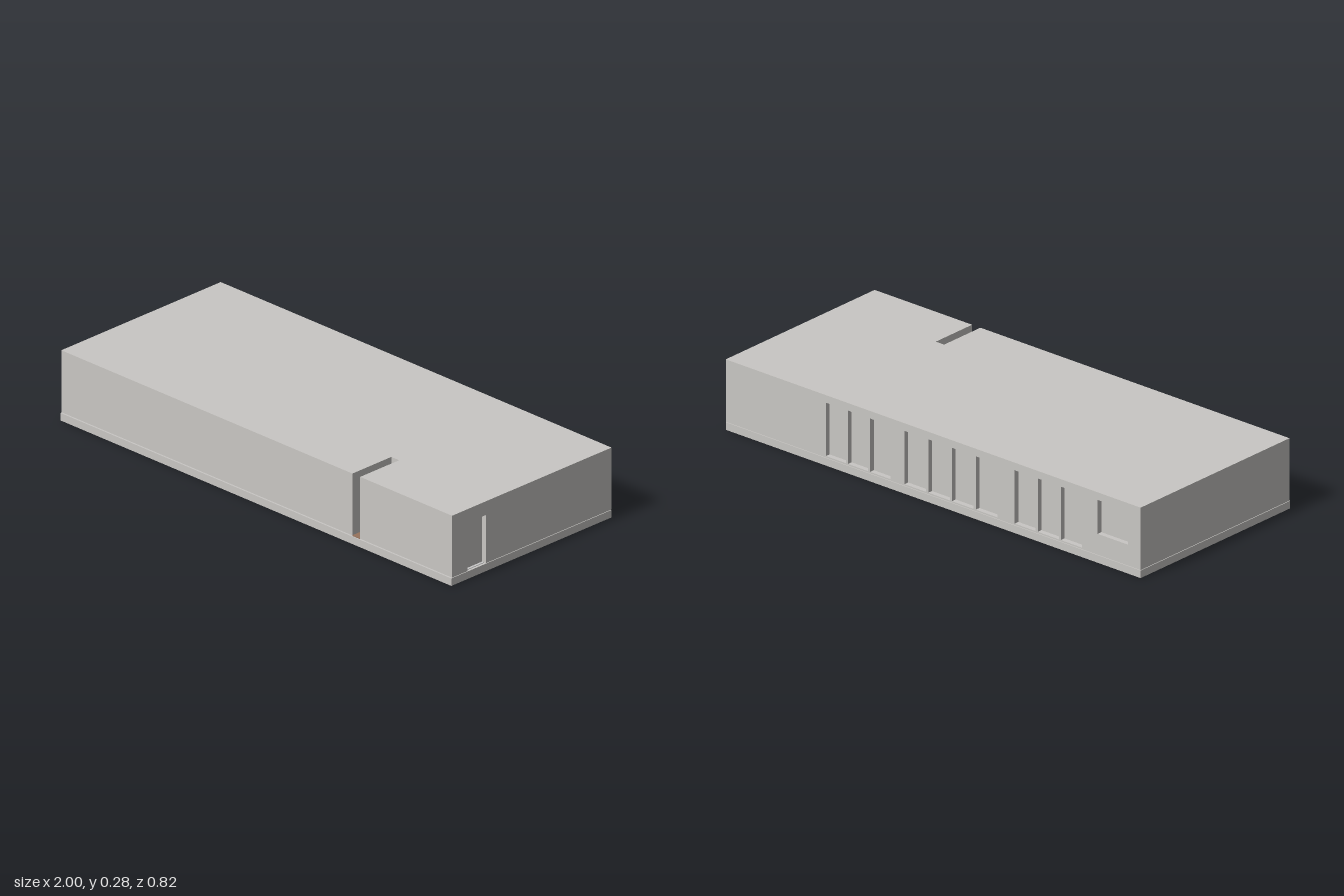
import * as THREE from 'three';

const BASE = 0.032, TOP = 0.28, DEEP = 0.02;

const material = (name, color) => {
  const m = new THREE.MeshStandardMaterial({ color });
  m.name = name;
  return m;
};

// Closed outline from corner points
const outline = (points, Kind = THREE.Shape) => new Kind(points.map(([x, y]) => new THREE.Vector2(x, y)));
const rect = (x0, y0, x1, y1) => [[x0, y0], [x1, y0], [x1, y1], [x0, y1]];

const extrude = (points, holes, depth) => {
  const shape = outline(points);
  shape.holes = holes.map(h => outline(h, THREE.Path));
  return new THREE.ExtrudeGeometry(shape, { depth, bevelEnabled: false });
};

// Plan drawn in x and z, raised from y0 to y1
const raisePlan = (points, holes, y0, y1) => {
  const flip = list => list.map(([x, z]) => [x, -z]);
  return extrude(flip(points), holes.map(flip), y1 - y0).rotateX(-Math.PI / 2).translate(0, y0, 0);
};

export function createModel() {
  const group = new THREE.Group();
  group.name = 'building';
  const plaster = material('plaster', 0xc9c7c4);
  const concrete = material('concrete', 0xc8c8c8);
  const wood = material('wood', 0x97735c);

  const add = (name, geometry, mat) => {
    const mesh = new THREE.Mesh(geometry, mat);
    mesh.name = name;
    group.add(mesh);
  };

  // Main volume and roof, with a narrow slot cut in from the front
  add('mainVolume', raisePlan([
    [-1, -0.39], [0.98, -0.39], [0.98, 0.41], [0.53, 0.41],
    [0.53, 0.21], [0.49, 0.21], [0.49, 0.41], [-1, 0.41],
  ], [], BASE, TOP), plaster);

  // Back wall: three rows of tall panes and one small window
  const rows = [
    { from: 0.207, to: 0.517, panes: 3, sill: 0.038 },
    { from: -0.31, to: 0.138, panes: 4, sill: 0.038 },
    { from: -0.717, to: -0.393, panes: 3, sill: 0.038 },
    { from: -0.938, to: -0.793, panes: 1, sill: 0.115 },
  ];
  const mullion = 0.01;
  const openings = [];
  for (const { from, to, panes, sill } of rows) {
    const pitch = (to - from + mullion) / panes;
    for (let i = 0; i < panes; i++) {
      const x = from + i * pitch;
      openings.push(rect(x, sill, x + pitch - mullion, 0.25));
    }
  }
  add('backWall', extrude(rect(-1, BASE, 0.98, TOP), openings, DEEP).translate(0, 0, -0.41), plaster);

  // Side wall with a door opening that reaches the floor
  add('doorWall', extrude([
    [-0.41, BASE], [0.235, BASE], [0.235, 0.225], [0.33, 0.225],
    [0.33, BASE], [0.41, BASE], [0.41, TOP], [-0.41, TOP],
  ], [], DEEP).rotateY(-Math.PI / 2).translate(1, 0, 0), plaster);

  // Plinth ring around the open underside
  add('plinth', raisePlan(rect(-1, -0.41, 1, 0.414), [rect(-0.98, -0.39, 0.98, 0.395)], 0, 0.03), plaster);

  // Floor slabs, room by room
  const slab = (name, x0, z0, x1, z1, y0, y1, mat) => add(name, raisePlan(rect(x0, z0, x1, z1), [], y0, y1), mat);
  slab('mainFloor', -0.35, -0.395, 0.99, 0.4, 0.026, BASE, concrete);
  slab('woodFloor', -0.735, -0.395, -0.35, 0.4, 0.026, BASE, wood);
  slab('smallRoomFloorBack', -0.99, -0.395, -0.735, -0.073, 0.026, BASE, concrete);
  slab('smallRoomFloorFront', -0.99, -0.067, -0.735, 0.4, 0.026, BASE, concrete);
  slab('slotFloor', 0.49, 0.21, 0.53, 0.41, 0.025, 0.033, wood);

  return group;
}
